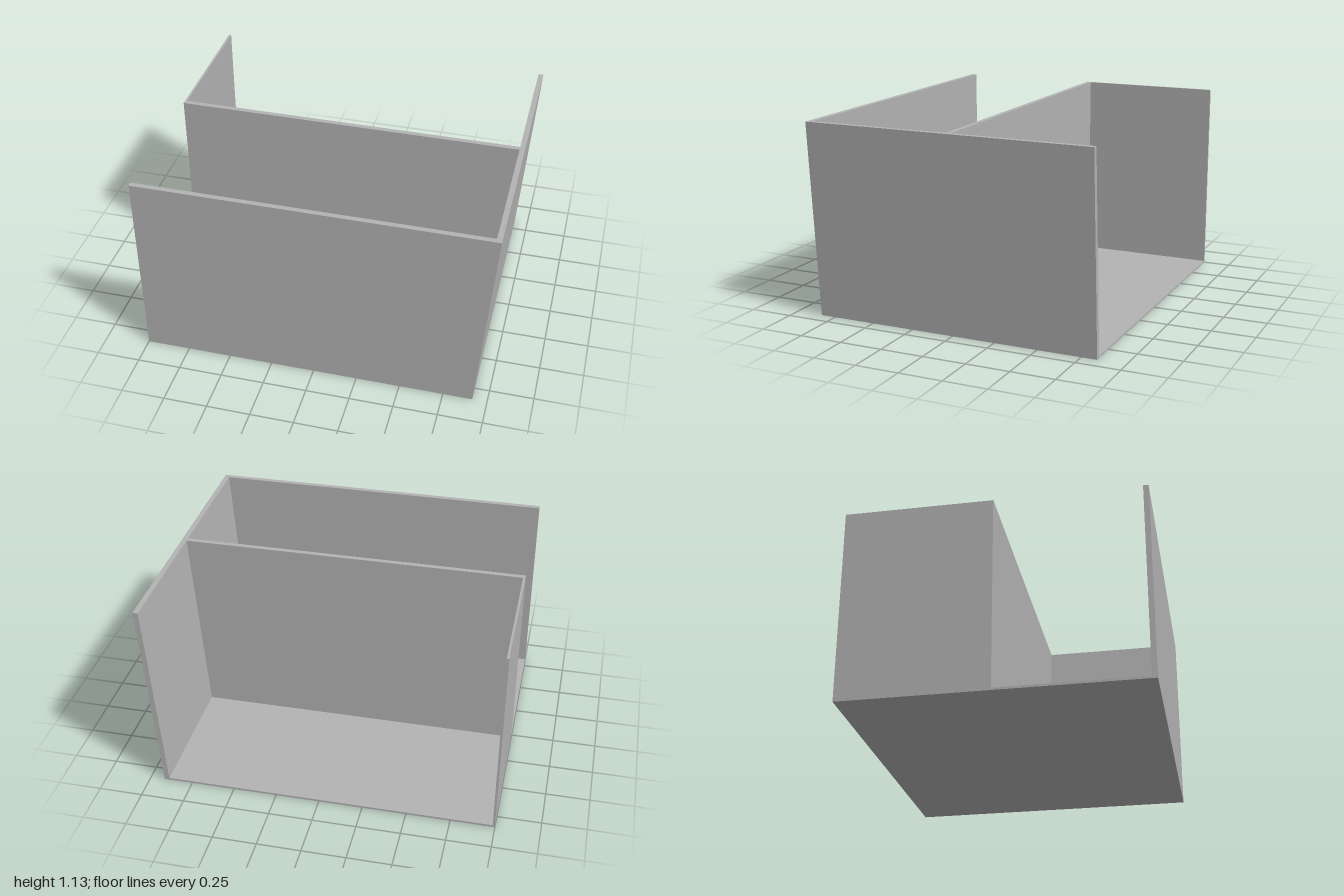
import * as THREE from 'three';

const H = 1.13, FLOOR = 0.012, BACK = -0.84, FRONT = 0.838;

export function createModel() {
  const group = new THREE.Group();
  group.name = 'openPartitionBox';
  const grey = new THREE.MeshStandardMaterial({ color: 0xb3b3b3 });
  grey.name = 'plain grey';

  // x position of the leaning wall's outer face at height y
  const lean = (y) => 0.917 + (0.083 * y) / H;

  // extrude an x-y outline along z
  const panel = (name, points, z0, z1) => {
    const shape = new THREE.Shape(points.map(([x, y]) => new THREE.Vector2(x, y)));
    const geo = new THREE.ExtrudeGeometry(shape, { depth: z1 - z0, bevelEnabled: false });
    const mesh = new THREE.Mesh(geo, grey);
    mesh.position.z = z0;
    mesh.name = name;
    group.add(mesh);
  };

  // floor slab
  panel('floor', [[-1, 0], [lean(0), 0], [lean(FLOOR), FLOOR], [-1, FLOOR]], BACK, FRONT);

  // leaning side wall
  const t = 0.03;
  panel('leaningWall', [[lean(FLOOR) - t, FLOOR], [lean(FLOOR), FLOOR], [1, H], [1 - t, H]], BACK, FRONT);

  // front wall and middle divider, both cut to the lean
  const upright = [[-1, FLOOR], [lean(FLOOR) - t, FLOOR], [1 - t, H], [-1, H]];
  panel('frontWall', upright, FRONT - 0.03, FRONT);
  panel('middleDivider', upright, -0.035, -0.006);

  // short upright wall closing the back bay
  panel('shortSideWall', [[-1, FLOOR], [-0.987, FLOOR], [-0.987, H], [-1, H]], BACK, -0.035);

  return group;
}
